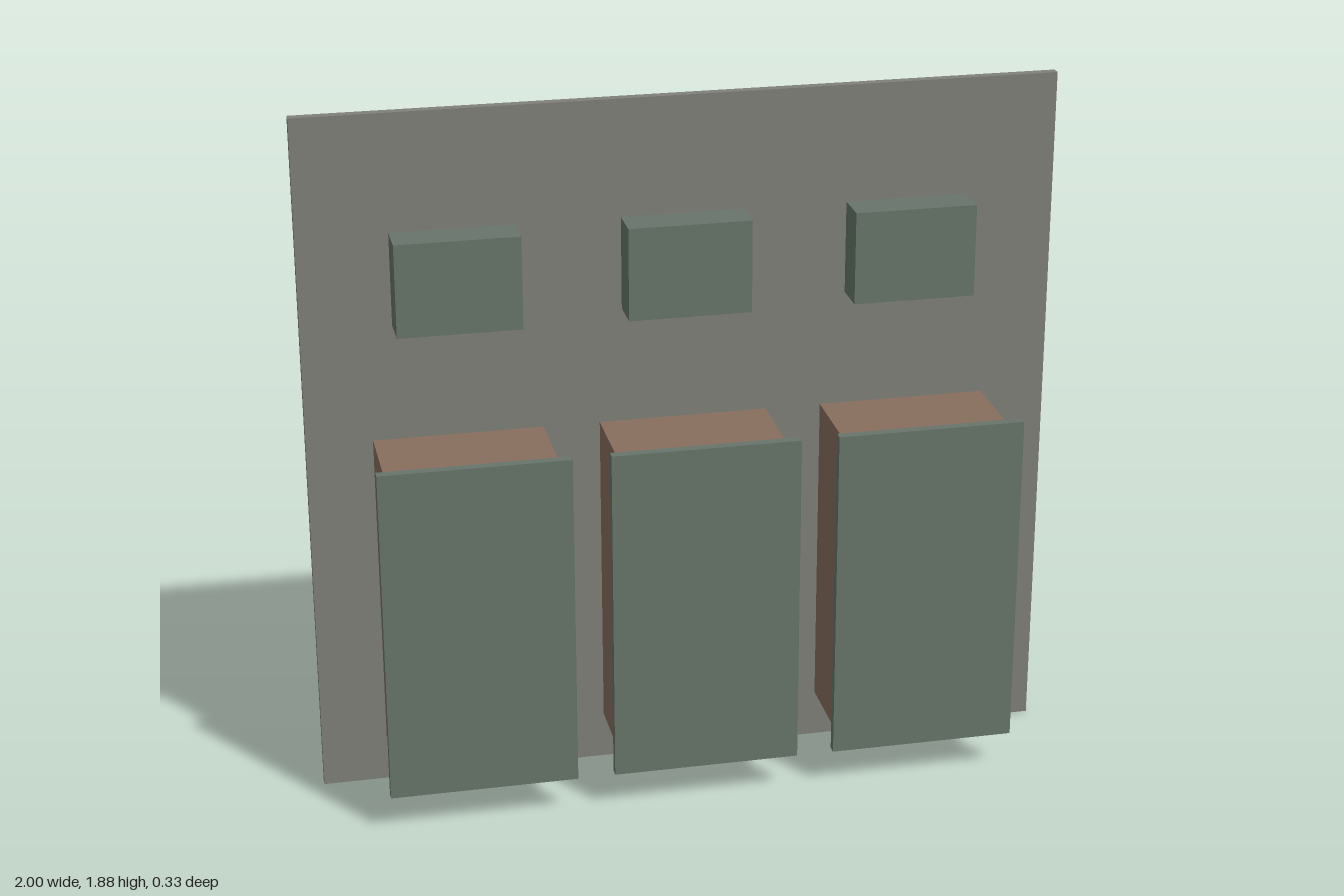
import * as THREE from 'three';

export function createModel() {
  const model = new THREE.Group();
  const grey = new THREE.MeshStandardMaterial({ color: 0x80807b });
  const green = new THREE.MeshStandardMaterial({ color: 0x68756b });
  const brown = new THREE.MeshStandardMaterial({ color: 0x876e5d });

  // Box given by its centre x, width and its y and z limits
  function addBox(parent, name, material, x, width, [y0, y1], [z0, z1]) {
    const mesh = new THREE.Mesh(new THREE.BoxGeometry(width, y1 - y0, z1 - z0), material);
    mesh.position.set(x, (y0 + y1) / 2, (z0 + z1) / 2);
    mesh.name = name;
    parent.add(mesh);
  }

  // Thin wall panel at the back
  addBox(model, 'backPanel', grey, 0, 2, [0, 1.88], [-0.163, -0.138]);

  // Three bays: cabinet with an overhanging door, and a small box above it.
  // Cabinets and boxes are set slightly into the panel.
  ['right', 'middle', 'left'].forEach((side, i) => {
    const x = (i - 1) * 0.6;
    const bay = new THREE.Group();
    bay.name = side + 'Bay';
    addBox(bay, 'cabinet', brown, x, 0.45, [0.13, 1.0], [-0.15, 0.138]);
    addBox(bay, 'door', green, x, 0.5, [0.105, 1.028], [0.138, 0.163]);
    addBox(bay, 'upperBox', green, x, 0.325, [1.315, 1.565], [-0.15, -0.038]);
    model.add(bay);
  });

  return model;
}
